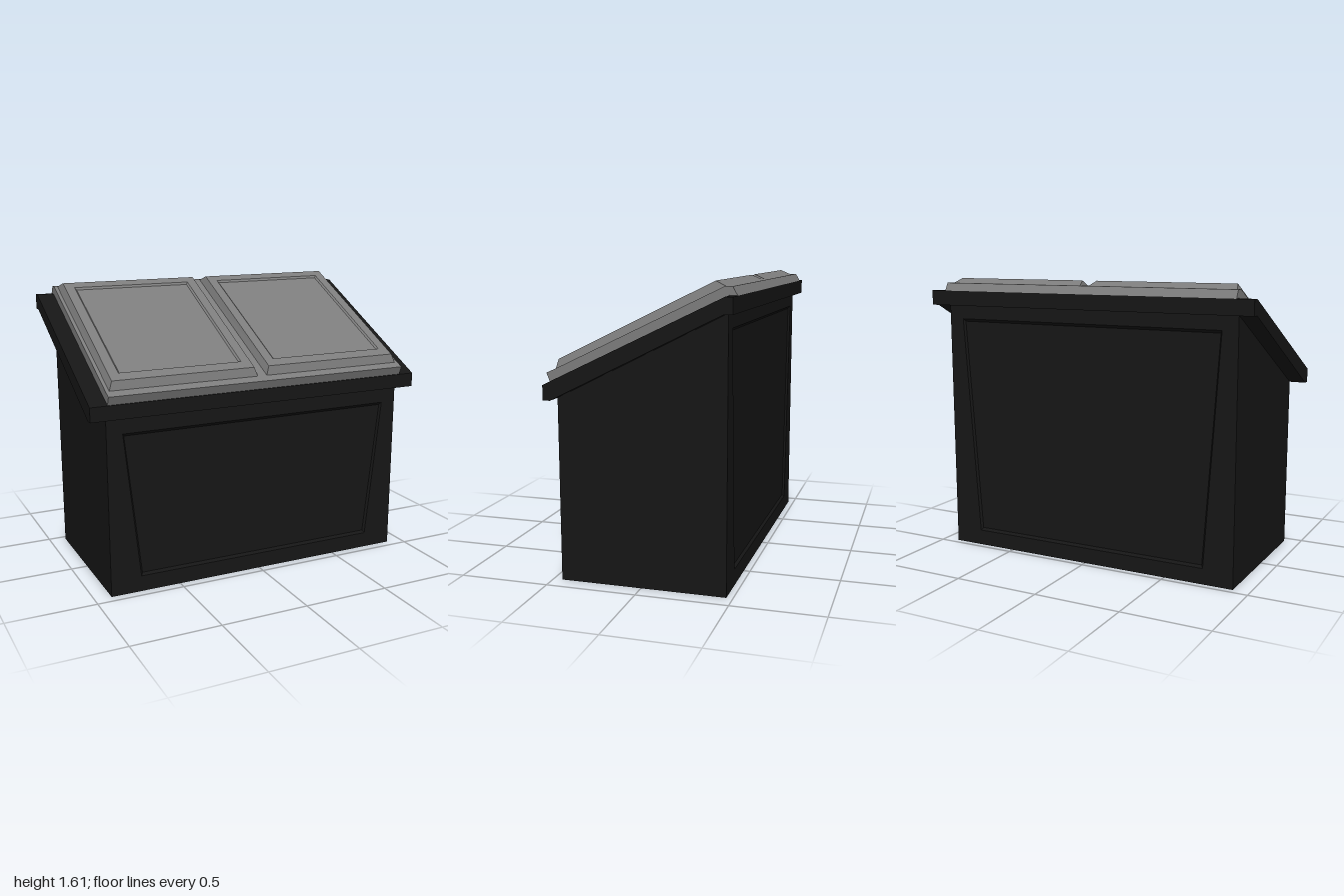
import * as THREE from 'three';

const darkMat = new THREE.MeshStandardMaterial({ color: 0x161616, side: THREE.DoubleSide, flatShading: true });
const lidMat = new THREE.MeshStandardMaterial({ color: 0x7c7c7c, side: THREE.DoubleSide, flatShading: true });

// Nested four-cornered rings joined by bands, the last ring filled in
function nestedRings(rings) {
  const pos = [];
  const quad = (a, b, c, d) => pos.push(...a, ...b, ...c, ...a, ...c, ...d);
  for (let r = 0; r + 1 < rings.length; r++) {
    const a = rings[r], b = rings[r + 1];
    for (let i = 0; i < 4; i++) {
      const j = (i + 1) % 4;
      quad(a[i], a[j], b[j], b[i]);
    }
  }
  quad(...rings[rings.length - 1]);
  const geo = new THREE.BufferGeometry();
  geo.setAttribute('position', new THREE.Float32BufferAttribute(pos, 3));
  geo.computeVertexNormals();
  return geo;
}

// Side profile of [z, y] points extruded across the width
function acrossWidth(profile, width) {
  const shape = new THREE.Shape(profile.map(([z, y]) => new THREE.Vector2(z, y)));
  const geo = new THREE.ExtrudeGeometry(shape, { depth: width, bevelEnabled: false });
  return geo.translate(0, 0, -width / 2).rotateY(-Math.PI / 2);
}

export function createModel() {
  const group = new THREE.Group();
  const add = (name, geo, mat) => {
    const mesh = new THREE.Mesh(geo, mat);
    mesh.name = name;
    group.add(mesh);
  };
  const W = 0.905, FRONT = 0.45, BACK = -0.465, LOW = 1.0, HIGH = 1.46;

  // Front and back walls with a shallow tapering recess; the bottom is open
  const wall = (name, z, top, panelTop, s) => {
    const ring = (wb, wt, y0, y1, zz) => [
      [-s * wb, y0, zz], [s * wb, y0, zz], [s * wt, y1, zz], [-s * wt, y1, zz]];
    add(name, nestedRings([
      ring(W, W, 0, top, z),
      ring(0.73, 0.815, 0.09, panelTop + 0.01, z),
      ring(0.72, 0.805, 0.105, panelTop - 0.005, z - s * 0.012),
    ]), darkMat);
  };
  wall('frontWall', FRONT, LOW, 0.9, 1);
  wall('backWall', BACK, HIGH, 1.37, -1);

  // Side walls with sloping tops
  for (const s of [1, -1]) {
    const corners = [[s * W, 0, FRONT], [s * W, 0, BACK], [s * W, HIGH, BACK], [s * W, LOW, FRONT]];
    if (s < 0) corners.reverse();
    add(s > 0 ? 'leftWall' : 'rightWall', nestedRings([corners]), darkMat);
  }

  // Wide sloping rim below the lid
  add('rim', acrossWidth([
    [0.49, 1.0], [0.49, 1.08], [-0.47, 1.545], [-0.51, 1.545],
    [-0.51, 1.46], [BACK, 1.46], [FRONT, 1.0],
  ], 2), darkMat);

  // Lid slab with a lip at the front and back
  add('lid', acrossWidth([
    [0.49, 1.082], [0.51, 1.13], [0.465, 1.15], [-0.445, 1.59],
    [-0.485, 1.59], [-0.51, 1.545], [-0.47, 1.547],
  ], 2 * W), lidMat);

  // Two raised lid panels, each with a shallow recess
  const baseY = z => 1.15 + (0.465 - z) * 0.4835;
  const topY = z => 1.2 + (0.455 - z) * 0.491;
  const ring = (x0, x1, zf, zb, y, dy = 0) => [
    [x0, y(zf) + dy, zf], [x1, y(zf) + dy, zf], [x1, y(zb) + dy, zb], [x0, y(zb) + dy, zb]];
  for (const s of [1, -1]) {
    const span = (a, b) => (s > 0 ? [a, b] : [-b, -a]);
    add(s > 0 ? 'leftLidPanel' : 'rightLidPanel', nestedRings([
      ring(...span(0.028, 0.885), 0.465, -0.445, baseY),
      ring(...span(0.045, 0.867), 0.455, -0.39, topY),
      ring(...span(0.1, 0.812), 0.4, -0.343, topY),
      ring(...span(0.11, 0.802), 0.39, -0.335, topY, -0.01),
    ]), lidMat);
  }
  return group;
}
